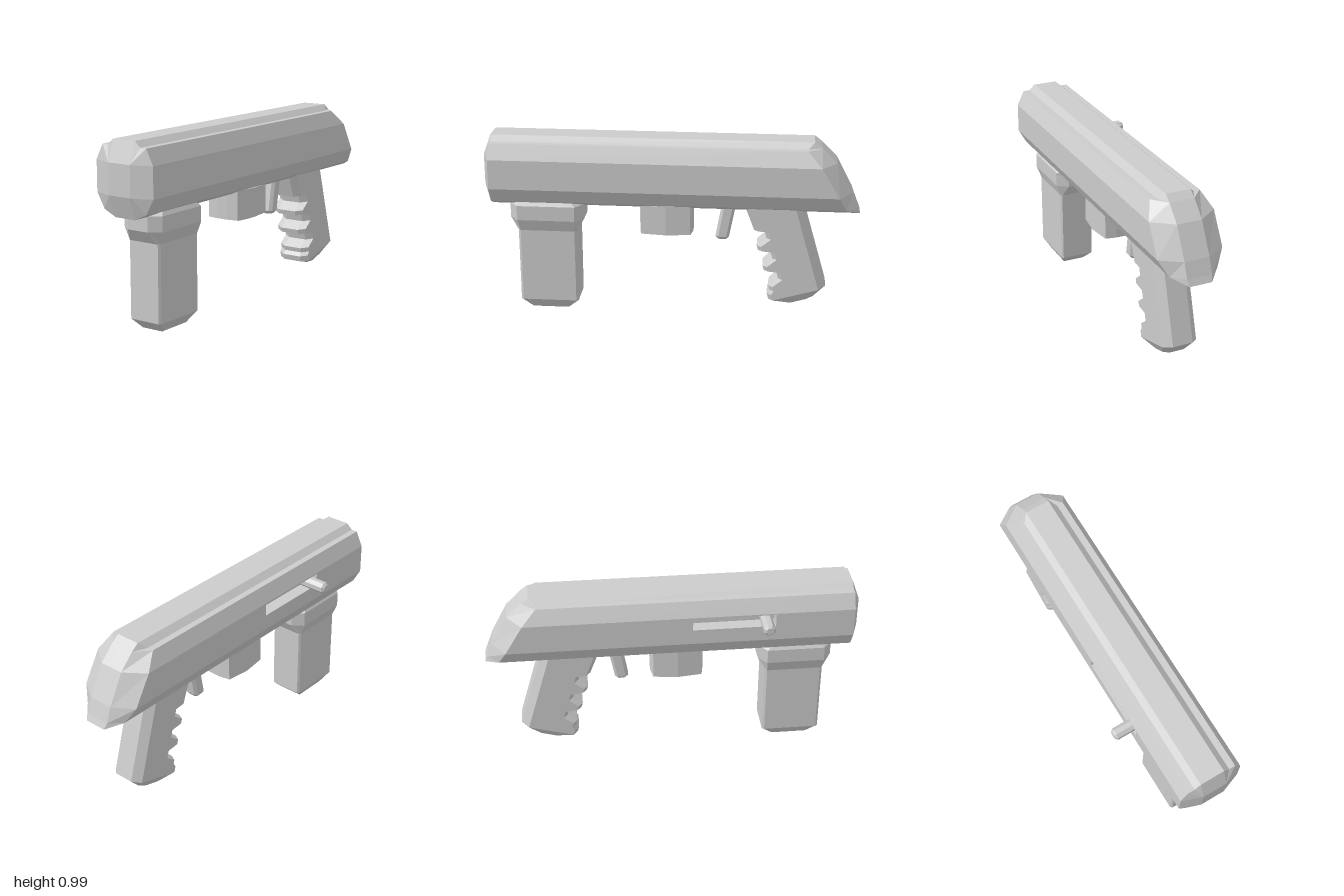
import * as THREE from 'three';

const CX = 0.05; // centre plane of the body, shifted by the bolt on the right
const mat = new THREE.MeshStandardMaterial({ color: 0xcccccc, flatShading: true });
const thin = new THREE.MeshStandardMaterial({ color: 0xcccccc, flatShading: true, side: THREE.DoubleSide });

// Complete a +x half outline into a mirrored ring
const mirrorRing = half => [
  ...half.map(([x, y, z]) => [CX + x, y, z]),
  ...half.slice().reverse().map(([x, y, z]) => [CX - x, y, z]),
];

// Skin mirrored rings (counter-clockwise seen from the first end) and cap both ends
function loft(halves, skip = () => false) {
  const rings = halves.map(mirrorRing), n = rings[0].length, pos = [];
  const same = (p, q) => p.every((v, k) => Math.abs(v - q[k]) < 1e-6);
  const tri = (p, q, r) => {
    if (!same(p, q) && !same(q, r) && !same(p, r)) pos.push(...p, ...q, ...r);
  };
  const quad = (a, b, c, d) => { tri(a, b, c); tri(a, c, d); };
  for (let j = 0; j < rings.length - 1; j++) {
    for (let i = 0; i < n; i++) {
      if (skip(j, i)) continue;
      const k = (i + 1) % n, a = rings[j], b = rings[j + 1];
      quad(a[i], b[i], b[k], a[k]);
    }
  }
  const first = rings[0], last = rings[rings.length - 1];
  for (let i = 0; i < n / 2 - 1; i++) {
    quad(first[i], first[i + 1], first[n - 2 - i], first[n - 1 - i]);
    quad(last[n - 1 - i], last[n - 2 - i], last[i + 1], last[i]);
  }
  const g = new THREE.BufferGeometry();
  g.setAttribute('position', new THREE.Float32BufferAttribute(pos, 3));
  g.computeVertexNormals();
  return g;
}

// Half of a chamfered rectangle at height y: outer and inner half width, z range, chamfer
const octagon = (y, w, wIn, front, back, c) =>
  [[wIn, y, front], [w, y, front - c], [w, y, back + c], [wIn, y, back]];

export function createModel() {
  const model = new THREE.Group();
  const add = (name, geometry, material = mat, parent = model) => {
    const mesh = new THREE.Mesh(geometry, material);
    mesh.name = name;
    parent.add(mesh);
    return mesh;
  };

  // Body: half section [x, y, z of the rear edge, z of the rear centre strip]
  const section = [
    [0.06, 0.602, -1.0, -1.0], [0.13, 0.635, -0.925, -0.985],
    [0.175, 0.715, -0.885, -0.955], [0.175, 0.875, -0.79, -0.87],
    [0.135, 0.955, -0.715, -0.79], [0.1, 0.955, -0.715, -0.79],
    [0.067, 0.985, -0.75, -0.75],
  ];
  const inset = x => Math.min(x, 0.067);
  const body = new THREE.Group();
  body.name = 'body';
  model.add(body);
  add('shell', loft([
    section.map(([x, y]) => [inset(x), Math.min(Math.max(y, 0.715), 0.875), 1]),
    section.map(([x, y]) => [x, y, 0.96]),
    section.map(([x, y, z]) => [x, y, z]),
    section.map(([x, y, , z]) => [inset(x), y, z]),
  ], (j, i) => j === 1 && i === 10), mat, body);

  // Right side panel with the slot the bolt slides in
  const slot = { z0: 0.1, z1: 0.54, y0: 0.8, y1: 0.868, depth: 0.07 };
  const panel = new THREE.Shape([
    [0.96, 0.715], [0.96, 0.875], [-0.79, 0.875], [-0.885, 0.715],
  ].map(p => new THREE.Vector2(...p)));
  panel.holes.push(new THREE.Path([
    [slot.z0, slot.y0], [slot.z1, slot.y0], [slot.z1, slot.y1], [slot.z0, slot.y1],
  ].map(p => new THREE.Vector2(...p))));
  add('slottedPanel', new THREE.ShapeGeometry(panel).rotateY(-Math.PI / 2).translate(CX - 0.175, 0, 0), mat, body);

  // Slot recess: a box without its outer face
  const recess = new THREE.BoxGeometry(slot.depth, slot.y1 - slot.y0, slot.z1 - slot.z0);
  const index = Array.from(recess.index.array);
  index.splice(6, 6);
  recess.setIndex(index);
  recess.clearGroups();
  recess.translate(CX - 0.175 + slot.depth / 2, (slot.y0 + slot.y1) / 2, (slot.z0 + slot.z1) / 2);
  add('slotRecess', recess, thin, body);

  // Bolt handle with a chamfered tip
  const bolt = new THREE.Group();
  bolt.name = 'boltHandle';
  model.add(bolt);
  const boltPart = (name, r, tip, x0, x1) => add(name,
    new THREE.CylinderGeometry(tip, r, x0 - x1, 8).rotateY(Math.PI / 8).rotateZ(Math.PI / 2)
      .translate((x0 + x1) / 2, 0.835, 0.505 - 0.015), mat, bolt);
  boltPart('boltRod', 0.033, 0.033, -0.056, -0.217);
  boltPart('boltTip', 0.033, 0.02, -0.217, -0.23);

  // Front magazine with a wider collar
  add('magazine', loft([
    octagon(0.635, 0.1, 0.06, 0.83, 0.51, 0.03),
    octagon(0.605, 0.12, 0.062, 0.87, 0.47, 0.045),
    octagon(0.525, 0.12, 0.062, 0.87, 0.47, 0.045),
    octagon(0.46, 0.097, 0.088, 0.825, 0.508, 0.012),
    octagon(0.055, 0.097, 0.088, 0.825, 0.508, 0.012),
    octagon(0, 0.063, 0.06, 0.768, 0.568, 0.006),
  ]));

  // Block under the middle of the body, slightly bulged on every side
  const block = (y, w, len) => [[0.3, 1], [0.85, 0.92], [1, 0], [0.85, -0.92], [0.3, -1]]
    .map(([x, z]) => [x * w, y, 0.027 + z * len]);
  add('underBlock', loft([
    block(0.62, 0.11, 0.143), block(0.46, 0.11, 0.143), block(0.445, 0.07, 0.08),
  ]));

  // Trigger, leaning forward towards its tip
  add('trigger', loft([
    octagon(0.62, 0.04, 0.025, -0.27, -0.345, 0.015),
    octagon(0.435, 0.04, 0.025, -0.237, -0.31, 0.015),
    octagon(0.417, 0.025, 0.015, -0.25, -0.298, 0.01),
  ]));

  // Rear grip: rows run along the raked back edge; w is the depth to the notched front
  const gripRow = (s, w, back = 0, half = 0.095, inner = 0.055) =>
    [[inner, w], [half, w - 0.025], [half, back + 0.04], [inner, back]]
      .map(([x, d]) => [x, 0.605 - 0.96 * s - 0.28 * d, -0.71 - 0.28 * s + 0.96 * d]);
  const rows = [gripRow(-0.1, 0.3), gripRow(0.04, 0.288)];
  for (let k = 0; k < 3; k++) {
    const s = 0.06 + k * 0.12;
    rows.push(gripRow(s, 0.236), gripRow(s + 0.042, 0.236), gripRow(s + 0.068, 0.298), gripRow(s + 0.095, 0.298));
  }
  rows.push(gripRow(0.412, 0.318), gripRow(0.445, 0.318), gripRow(0.495, 0.233, 0.082, 0.06, 0.04));
  add('grip', loft(rows));

  return model;
}
